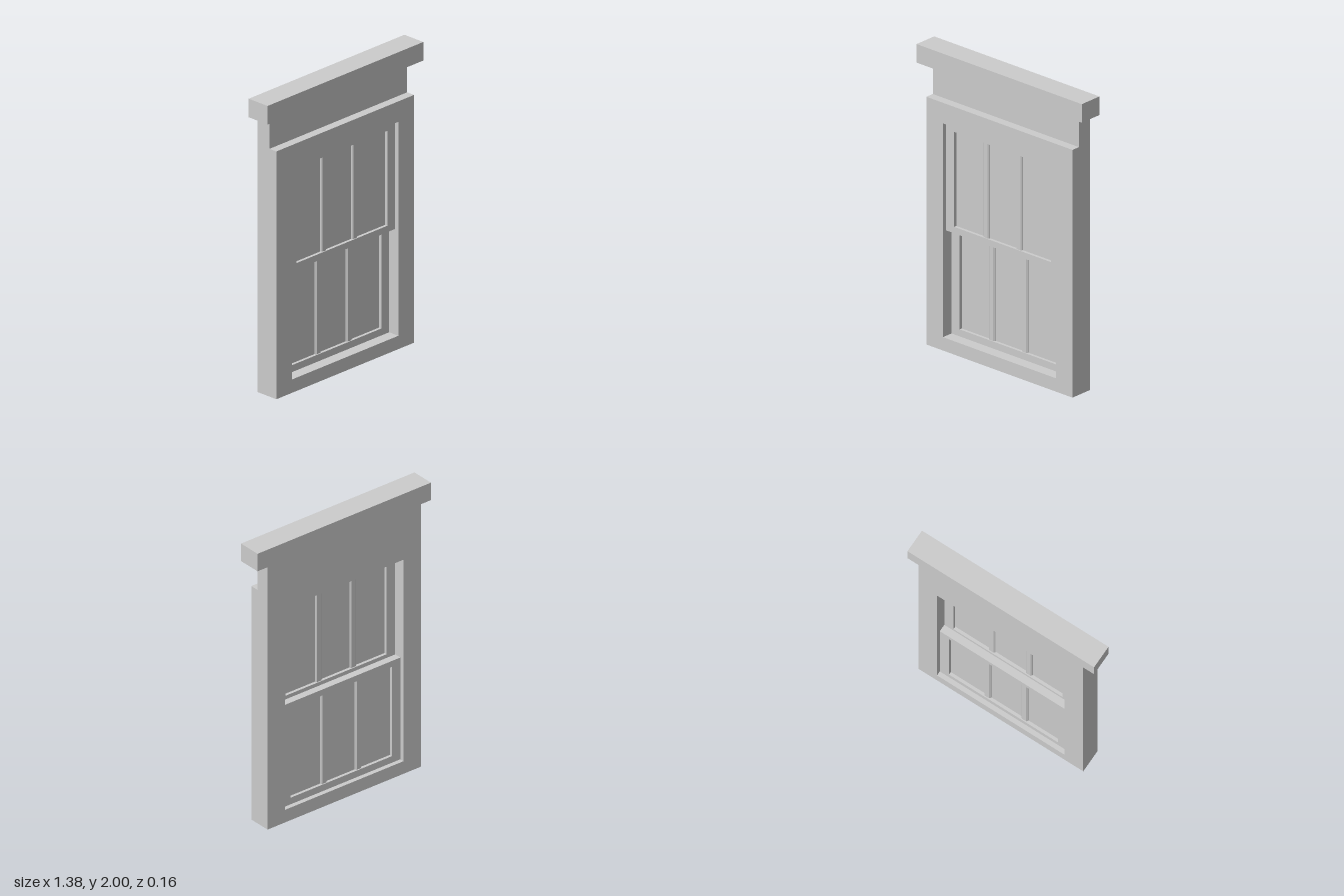
import * as THREE from 'three';

const material = new THREE.MeshStandardMaterial({ color: 0xcccccc, flatShading: true });

function addMesh(parent, name, geometry, x = 0, y = 0, z = 0) {
  const mesh = new THREE.Mesh(geometry, material);
  mesh.name = name;
  mesh.position.set(x, y, z);
  parent.add(mesh);
  return mesh;
}

// Box given by its limits on each axis
function addBox(parent, name, [x0, x1], [y0, y1], [z0, z1]) {
  return addMesh(parent, name, new THREE.BoxGeometry(x1 - x0, y1 - y0, z1 - z0),
    (x0 + x1) / 2, (y0 + y1) / 2, (z0 + z1) / 2);
}

function rectangle(PathType, [x0, x1], [y0, y1]) {
  return new PathType([[x0, y0], [x1, y0], [x1, y1], [x0, y1]].map(([x, y]) => new THREE.Vector2(x, y)));
}

// Rectangular frame with a rectangular opening, from z0 to z1
function addFrame(parent, name, outerX, outerY, innerX, innerY, [z0, z1]) {
  const shape = rectangle(THREE.Shape, outerX, outerY);
  shape.holes.push(rectangle(THREE.Path, innerX, innerY));
  const geometry = new THREE.ExtrudeGeometry(shape, { depth: z1 - z0, bevelEnabled: false });
  return addMesh(parent, name, geometry, 0, 0, z0);
}

// Upright glazing bar with chamfered edges on both faces
function addGlazingBar(parent, x, [y0, y1], z) {
  const profile = [[0.024, -0.01], [0.024, 0.01], [0.016, 0.018], [-0.016, 0.018],
    [-0.024, 0.01], [-0.024, -0.01], [-0.016, -0.018], [0.016, -0.018]];
  const shape = new THREE.Shape(profile.map(([a, b]) => new THREE.Vector2(a, b)));
  const geometry = new THREE.ExtrudeGeometry(shape, { depth: y1 - y0, bevelEnabled: false });
  geometry.rotateX(-Math.PI / 2);
  addMesh(parent, 'glazingBar', geometry, x, y0, z);
}

const OPENING_X = [-0.472, 0.472];
const PANE_X = [-0.404, 0.404];

// Sash: surrounding rails, recessed pane and two glazing bars
function addSash(parent, name, outerY, paneY, [z0, z1]) {
  const sash = new THREE.Group();
  sash.name = name;
  parent.add(sash);
  const mid = (z0 + z1) / 2;
  addFrame(sash, 'sashRails', OPENING_X, outerY, PANE_X, paneY, [z0, z1]);
  addBox(sash, 'pane', PANE_X, paneY, [mid - 0.005, mid + 0.005]);
  for (const x of [-0.147, 0.128]) addGlazingBar(sash, x, paneY, mid);
}

export function createModel() {
  const model = new THREE.Group();
  model.name = 'sashWindow';

  // Surround, set-back frieze and projecting cap
  addFrame(model, 'surround', [-0.611, 0.611], [0, 1.668], OPENING_X, [0.09, 1.53], [-0.081, 0.079]);
  addBox(model, 'frieze', [-0.611, 0.611], [1.668, 1.875], [-0.081, 0.02]);
  addBox(model, 'cap', [-0.691, 0.691], [1.875, 2], [-0.081, 0.081]);

  // Upper sash sits in front of the lower one
  addSash(model, 'upperSash', [0.8, 1.53], [0.843, 1.482], [0, 0.05]);
  addSash(model, 'lowerSash', [0.09, 0.817], [0.137, 0.775], [-0.05, 0]);

  return model;
}
